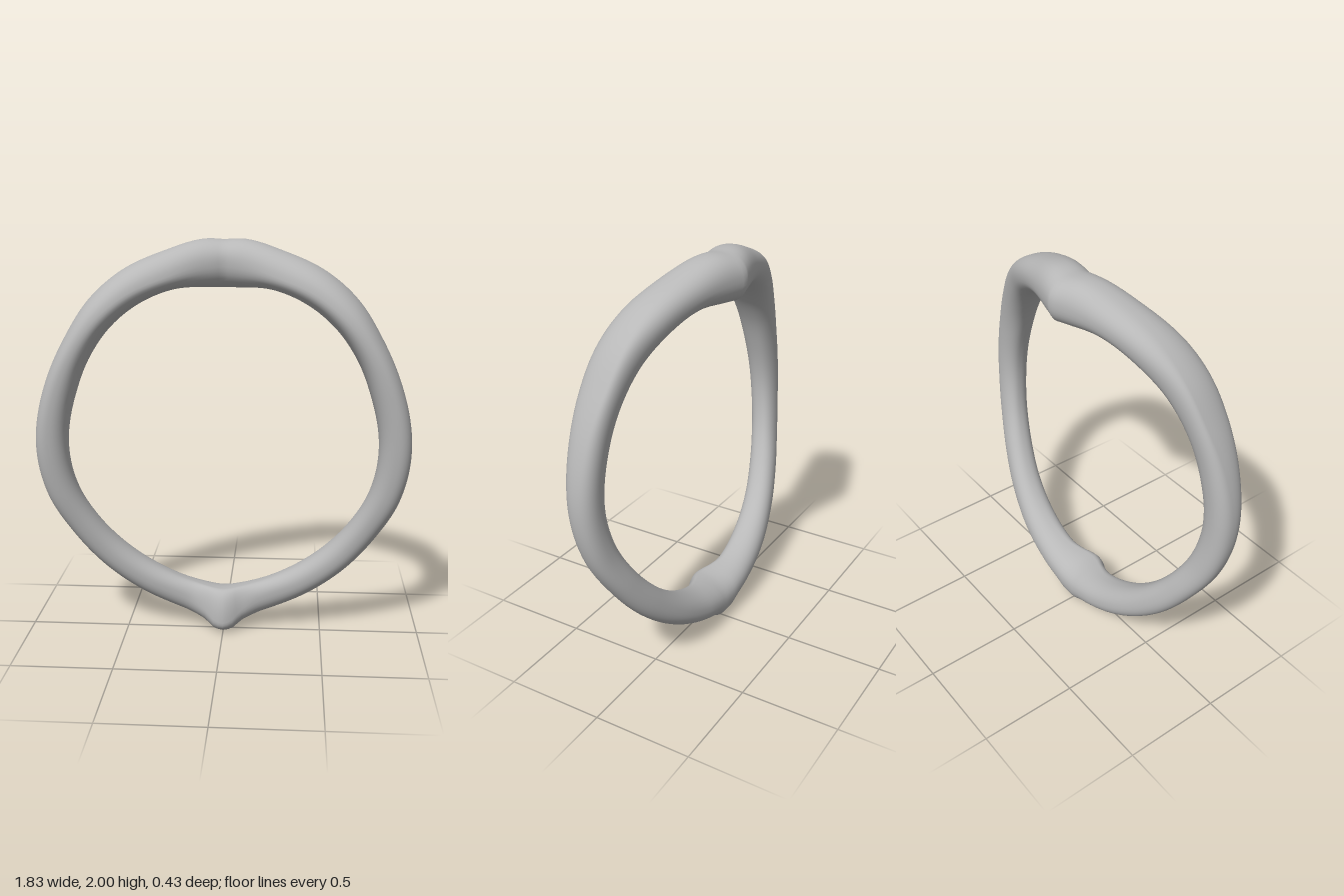
import * as THREE from 'three';

// Half-ring stations, top (0 deg) to bottom (180 deg):
// [angle, outer r, outer z, front r, front z, inner r, inner z, back r, back z]
const stations = [
  [0, 0.996, -0.08, 0.90, 0.035, 0.765, -0.10, 0.88, -0.217],
  [6, 1.004, -0.07, 0.89, 0.06, 0.772, -0.07, 0.88, -0.19],
  [17, 0.988, -0.03, 0.87, 0.118, 0.799, -0.01, 0.89, -0.14],
  [30, 0.985, 0.0, 0.875, 0.175, 0.806, 0.03, 0.90, -0.085],
  [42, 0.968, 0.02, 0.87, 0.207, 0.80, 0.07, 0.89, -0.03],
  [55, 0.935, 0.05, 0.86, 0.215, 0.782, 0.09, 0.87, 0.01],
  [70, 0.919, 0.09, 0.85, 0.21, 0.762, 0.10, 0.85, 0.035],
  [90, 0.917, 0.11, 0.85, 0.19, 0.76, 0.10, 0.84, 0.04],
  [106, 0.91, 0.08, 0.84, 0.157, 0.756, 0.07, 0.83, 0.015],
  [121, 0.894, 0.03, 0.82, 0.113, 0.746, 0.03, 0.82, -0.035],
  [136, 0.898, -0.02, 0.82, 0.073, 0.744, -0.01, 0.82, -0.085],
  [152, 0.91, -0.05, 0.82, 0.043, 0.75, -0.03, 0.84, -0.127],
  [167, 0.931, -0.06, 0.83, 0.032, 0.762, -0.02, 0.86, -0.147],
  [174, 0.957, -0.04, 0.88, 0.058, 0.764, 0.01, 0.87, -0.15],
  [177.3, 0.99, -0.02, 0.92, 0.088, 0.765, 0.025, 0.88, -0.15],
  [180, 0.996, -0.01, 0.93, 0.10, 0.766, 0.03, 0.88, -0.15],
];

// Smooth interpolation of every station value at an angle
function sample(angle) {
  let i = 0;
  while (i < stations.length - 2 && angle > stations[i + 1][0]) i++;
  const at = (k) => stations[Math.min(Math.max(k, 0), stations.length - 1)];
  const [p, a, b, n] = [at(i - 1), at(i), at(i + 1), at(i + 2)];
  const h = b[0] - a[0], t = (angle - a[0]) / h, t2 = t * t, t3 = t2 * t;
  return a.map((v, k) => {
    const ma = (b[k] - p[k]) / (b[0] - p[0]) * h;
    const mb = (n[k] - v) / (n[0] - a[0]) * h;
    return (2 * t3 - 3 * t2 + 1) * v + (t3 - 2 * t2 + t) * ma
      + (3 * t2 - 2 * t3) * b[k] + (t3 - t2) * mb;
  });
}

// Rounded section through its outer, front, inner and back extremes
function sectionPoint(s, u) {
  const [, ro, zo, rf, zf, ri, zi, rb, zb] = s;
  const ease = (v) => Math.pow(Math.abs(v), 0.9);
  const c = ease(Math.cos(u)), d = ease(Math.sin(u));
  const outer = Math.cos(u) >= 0, front = Math.sin(u) >= 0;
  const [rSide, zSide] = front ? [rf, zf] : [rb, zb];
  const [rEnd, zEnd] = outer ? [ro, zo] : [ri, zi];
  return [rSide + (rEnd - rSide) * c, zEnd + (zSide - zEnd) * d];
}

function ringGeometry(around, sides) {
  const position = [], index = [];
  for (let i = 0; i < around; i++) {
    const angle = (i / around) * 360;
    const s = sample(angle <= 180 ? angle : 360 - angle);
    const a = THREE.MathUtils.degToRad(angle);
    for (let j = 0; j < sides; j++) {
      const [r, z] = sectionPoint(s, (j / sides) * Math.PI * 2);
      position.push(r * Math.sin(a), 1 + r * Math.cos(a), z);
      const i2 = (i + 1) % around, j2 = (j + 1) % sides;
      const p = i * sides + j, q = i * sides + j2;
      const v = i2 * sides + j, w = i2 * sides + j2;
      index.push(p, q, v, q, w, v);
    }
  }
  const geometry = new THREE.BufferGeometry();
  geometry.setAttribute('position', new THREE.Float32BufferAttribute(position, 3));
  geometry.setIndex(index);
  geometry.computeVertexNormals();
  return geometry;
}

export function createModel() {
  const group = new THREE.Group();
  group.name = 'curvedRing';
  const grey = new THREE.MeshStandardMaterial({ color: 0xb8b8b8 });
  grey.name = 'grey';
  // One continuous band, peaked at the top and with a small knob at the bottom
  const band = new THREE.Mesh(ringGeometry(240, 40), grey);
  band.name = 'ringBand';
  group.add(band);
  return group;
}
